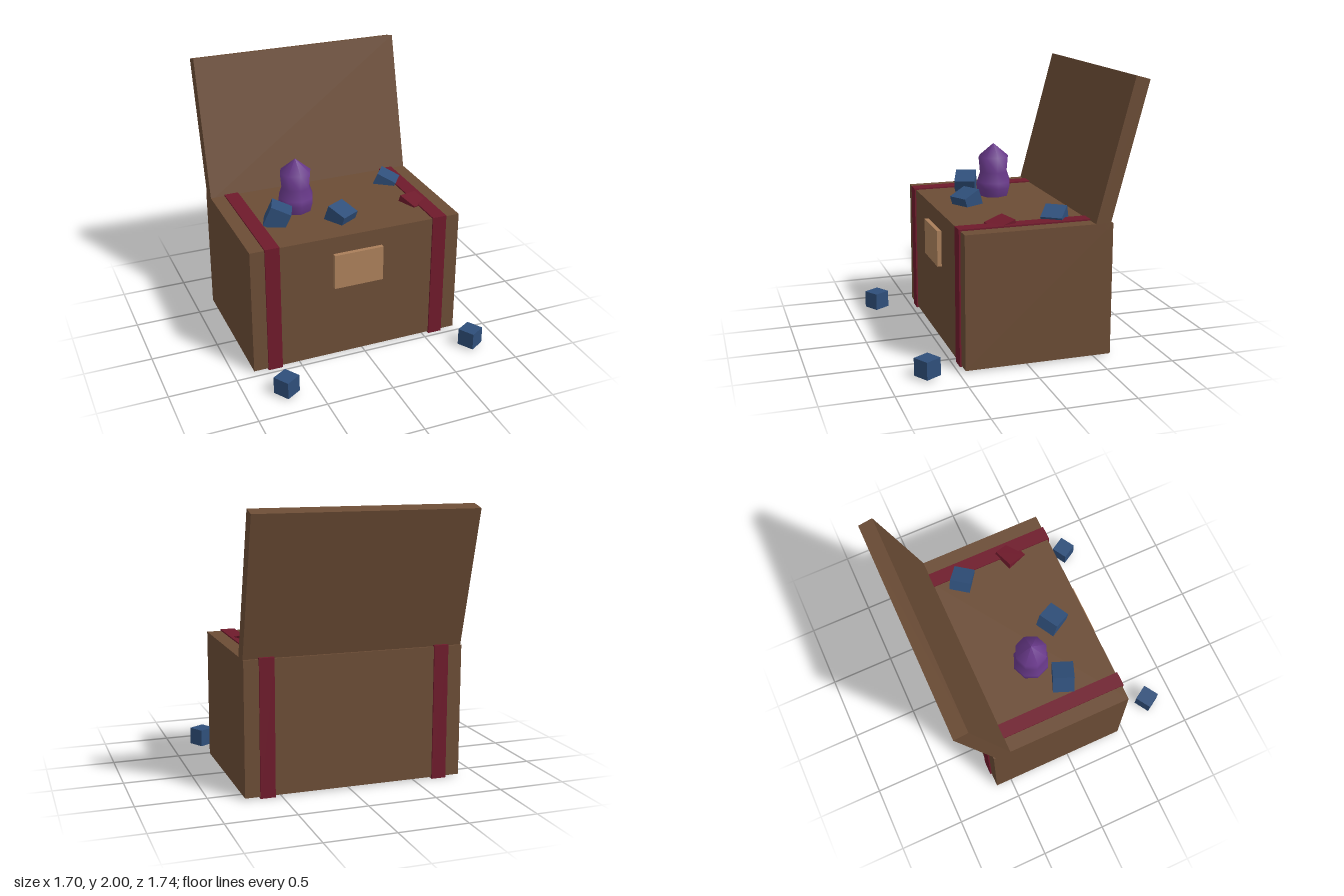
import * as THREE from 'three';

const mat = (color) => new THREE.MeshStandardMaterial({ color });

export function createModel() {
  const model = new THREE.Group();
  const wood = mat(0x6b4c35);
  const strapRed = mat(0x6e1a2b);
  const brass = mat(0xaa7f5a);
  const blue = mat(0x2f4f7a);
  const purple = mat(0x6a3a8c);

  function box(name, size, position, material, rotation = [0, 0, 0]) {
    const mesh = new THREE.Mesh(new THREE.BoxGeometry(...size), material);
    mesh.name = name;
    mesh.position.set(...position);
    mesh.rotation.set(...rotation, 'YXZ');
    model.add(mesh);
    return mesh;
  }

  // Chest body, with the lid leaning back from its rear edge
  const cx = -0.046, cz = -0.085;
  box('chestBody', [1.615, 0.969, 1.077], [cx, 0.496, cz], wood);
  box('lid', [1.615, 1.077, 0.108], [cx, 1.467, -0.679], wood, [-0.26, 0, 0]);

  // Straps wrapped around the body
  for (const side of [-1, 1]) {
    box(side > 0 ? 'leftStrap' : 'rightStrap', [0.108, 0.991, 1.099],
      [cx + side * 0.646, 0.4955, cz], strapRed);
  }

  // Front plate
  box('frontPlate', [0.377, 0.269, 0.054], [cx, 0.715, 0.459], brass);

  // Toy blocks poking out of the top: position, [tilt x, yaw, tilt z], material
  const s = 0.157;
  const toys = [
    [[-0.517, 1.034, 0.08], [0, -0.38, -0.42], blue],
    [[-0.076, 0.997, 0.196], [0.35, 0.515, 0], blue],
    [[0.5, 0.965, -0.287], [0, -0.63, -0.42], blue],
    [[0.54, 0.928, 0.125], [0.25, 0.33, -0.08], strapRed],
  ];
  toys.forEach(([p, r, m], i) => box('toyBlock' + (i + 1), [s, s, s], p, m, r));

  // Blocks lying on the floor in front
  box('floorBlockRight', [0.129, 0.129, 0.129], [-0.719, 0.081, 0.777], blue, [0, 0.56, 0]);
  box('floorBlockLeft', [0.129, 0.129, 0.129], [0.763, 0.081, 0.724], blue, [0, 0.53, 0]);

  // Turned doll with eight sides
  const profile = [
    [0, 0.95], [0.1, 0.95], [0.118, 0.985], [0.134, 1.045], [0.134, 1.09],
    [0.108, 1.165], [0.119, 1.284], [0, 1.385],
  ].map(([r, y]) => new THREE.Vector2(r, y));
  const doll = new THREE.Mesh(new THREE.LatheGeometry(profile, 8), purple);
  doll.name = 'doll';
  doll.position.set(-0.316, 0, -0.086);
  model.add(doll);

  return model;
}
